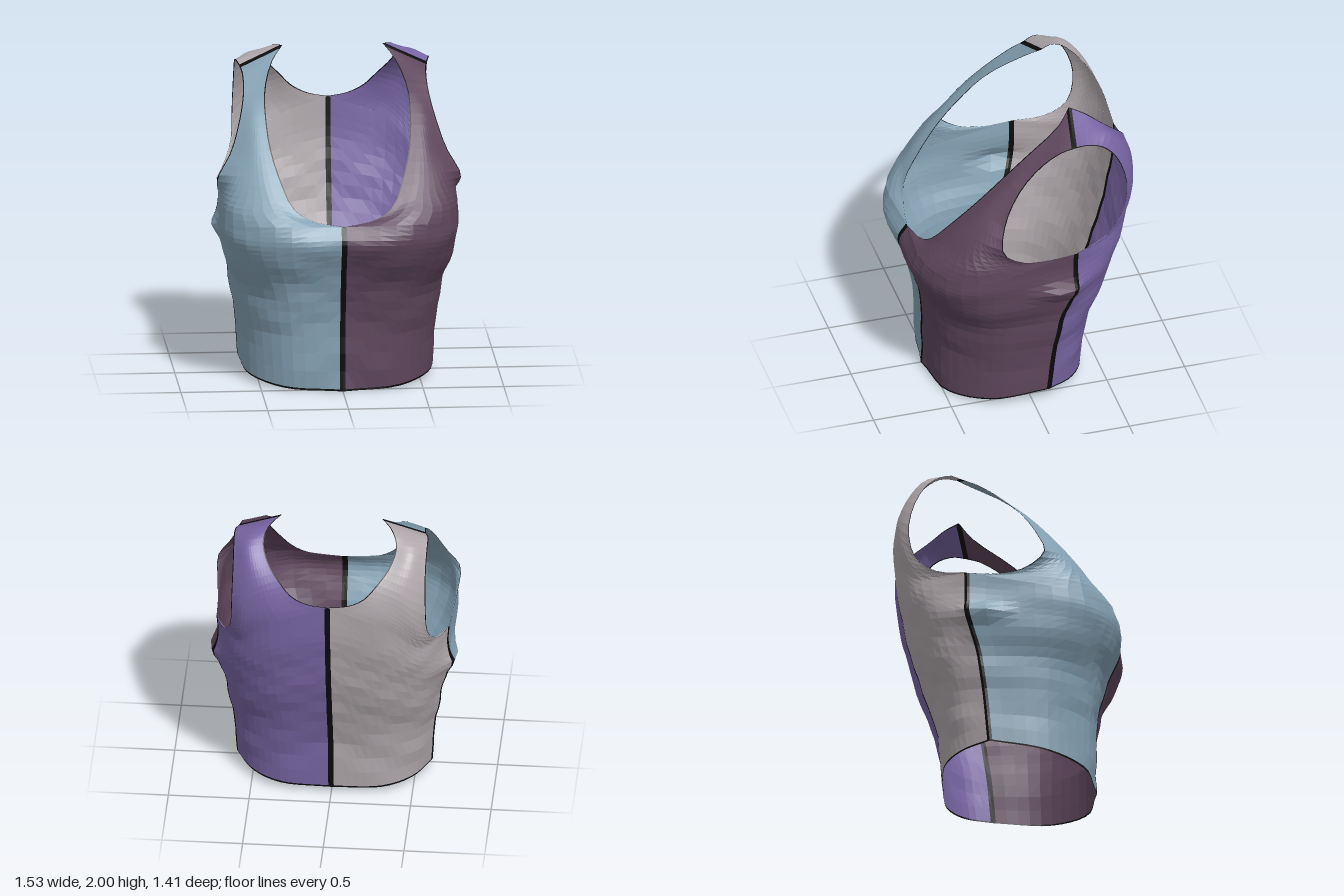
import * as THREE from 'three';

const mat = (name, color) => {
  const m = new THREE.MeshStandardMaterial({ color, flatShading: true, side: THREE.DoubleSide });
  m.name = name;
  return m;
};

// Cross-sections from the centre line / neckline to the side seam / armhole (x, y, z triples).
const frontBody = [
  [0, .002, .55, .33, .012, .49, .55, .045, .25, .602, .09, -.1],
  [0, .4, .55, .35, .4, .505, .58, .4, .26, .63, .4, -.13],
  [0, .65, .585, .38, .65, .55, .62, .65, .31, .67, .65, -.165],
  [0, .85, .66, .4, .85, .64, .675, .84, .41, .715, .87, -.225],
  [0, .98, .695, .42, .97, .68, .695, .96, .44, .72, 1.02, -.24],
  [0, 1.07, .635, .41, 1.08, .655, .695, 1.06, .44, .72, 1.18, -.24],
];
const frontStrap = [
  frontBody[5],
  [.2, 1.105, .61, .44, 1.15, .595, .69, 1.15, .425, .725, 1.17, -.05],
  [.3, 1.17, .57, .48, 1.22, .525, .675, 1.23, .4, .74, 1.2, .11],
  [.38, 1.33, .45, .49, 1.33, .445, .64, 1.32, .37, .755, 1.3, .235],
  [.43, 1.5, .3, .53, 1.49, .295, .67, 1.45, .2],
  [.445, 1.65, .15, .53, 1.645, .14, .61, 1.62, .1],
  [.44, 1.78, 0, .575, 1.76, -.04],
  [.38, 1.92, -.22, .57, 1.85, -.18],
  [.31, 2, -.31, .58, 1.88, -.27],
];
const backBody = [
  [0, .05, -.4, .31, .055, -.38, .5, .07, -.27, .602, .09, -.1],
  [0, .45, -.445, .32, .44, -.43, .53, .42, -.31, .63, .4, -.13],
  [0, .8, -.56, .35, .76, -.535, .565, .69, -.39, .67, .65, -.165],
  [0, 1.1, -.635, .38, 1.03, -.61, .59, .92, -.46, .715, .87, -.225],
  [0, 1.35, -.68, .38, 1.24, -.66, .59, 1.07, -.505, .72, 1.02, -.24],
  [0, 1.575, -.69, .36, 1.43, -.69, .575, 1.2, -.54, .72, 1.18, -.24],
];
const backStrap = [
  backBody[5],
  [.12, 1.595, -.695, .38, 1.5, -.696, .56, 1.3, -.595, .668, 1.22, -.43],
  [.22, 1.645, -.69, .4, 1.58, -.69, .535, 1.45, -.65, .612, 1.34, -.56],
  [.3, 1.73, -.655, .44, 1.68, -.67, .54, 1.6, -.645, .602, 1.55, -.6],
  [.38, 1.83, -.58, .49, 1.81, -.6, .598, 1.76, -.54],
  [.41, 1.92, -.485, .51, 1.91, -.5, .6, 1.865, -.45],
  [.375, 1.978, -.4, .6, 1.9, -.35],
  frontStrap[8],
];

// Soft cloth wrinkles, plus a fold beside the side seam.
function wrinkle(p) {
  const r = Math.hypot(p.x, p.z);
  const fade = THREE.MathUtils.clamp((1.4 - p.y) * 3, 0, 1);
  const fold = .05 * Math.exp(-(((p.y - .91) / .05) ** 2) - (((p.z + .14) / .14) ** 2));
  const d = fade * (.004 * Math.sin(17 * p.y + 9 * p.x + 5 * p.z) + .003 * Math.sin(31 * p.y - 14 * p.x)) + fold;
  p.x += d * p.x / r;
  p.z += d * p.z / r;
  return p;
}

const COLS = 16;

// Loft the rows into a grid; edge is the width of the dark trim along both long sides.
function loft(rows, edge, steps) {
  const sections = rows.map((row) => {
    const pts = [];
    for (let i = 0; i < row.length; i += 3) pts.push(new THREE.Vector3(...row.slice(i, i + 3)));
    const curve = new THREE.CatmullRomCurve3(pts);
    const e = edge / curve.getLength();
    return Array.from({ length: COLS + 1 }, (_, j) => {
      const u = j === 0 ? 0 : j === COLS ? 1 : e + (1 - 2 * e) * (j - 1) / (COLS - 2);
      return curve.getPointAt(u);
    });
  });
  const columns = Array.from({ length: COLS + 1 }, (_, j) =>
    new THREE.CatmullRomCurve3(sections.map((s) => s[j])));
  return steps.map((t) => columns.map((c) => wrinkle(c.getPoint(t))));
}

// Turn a grid into indexed faces, keeping those the test accepts.
function gridGeometry(grid, side, flip, keep) {
  const pos = [], index = [];
  grid.forEach((row) => row.forEach((p) => pos.push(p.x * side, p.y, p.z)));
  for (let i = 0; i < grid.length - 1; i++) for (let j = 0; j < COLS; j++) {
    if (!keep(i, j)) continue;
    const a = i * (COLS + 1) + j, b = a + 1, c = a + COLS + 1, d = c + 1;
    if (flip) index.push(a, c, b, b, c, d);
    else index.push(a, b, c, b, d, c);
  }
  const g = new THREE.BufferGeometry();
  g.setAttribute('position', new THREE.Float32BufferAttribute(pos, 3));
  g.setIndex(index);
  g.computeVertexNormals();
  return g;
}

const range = (n, from, to) => Array.from({ length: n + 1 }, (_, i) => from + (to - from) * i / n);

export function createModel() {
  const top = new THREE.Group();
  top.name = 'sleevelessTop';
  const seam = mat('black seam', 0x0b0b0d);
  const panels = [
    ['frontLeft', 1, true, mat('plum', 0x5e465c)],
    ['frontRight', -1, true, mat('dusty blue', 0x84a0b2)],
    ['backLeft', 1, false, mat('violet', 0x7866a4)],
    ['backRight', -1, false, mat('warm grey', 0xb0a8ac)],
  ];
  const bodySteps = [0, ...range(18, .006, 1)];
  const strapSteps = [...range(20, 0, .975), 1];

  for (const [name, side, isFront, fabric] of panels) {
    const panel = new THREE.Group();
    panel.name = name + 'Panel';
    const flip = (side < 0) === isFront;
    const add = (part, grid, trimRow) => {
      const isTrim = (i, j) => j === 0 || j === COLS - 1 || i === trimRow;
      const cloth = new THREE.Mesh(gridGeometry(grid, side, flip, (i, j) => !isTrim(i, j)), fabric);
      cloth.name = name + part;
      const trim = new THREE.Mesh(gridGeometry(grid, side, flip, isTrim), seam);
      trim.name = name + part + 'Seam';
      panel.add(cloth, trim);
    };
    // Body from hem to underarm, then the yoke and shoulder strap
    add('Body', loft(isFront ? frontBody : backBody, .017, bodySteps), 0);
    add('Strap', loft(isFront ? frontStrap : backStrap, .007, strapSteps), strapSteps.length - 2);
    top.add(panel);
  }
  return top;
}
